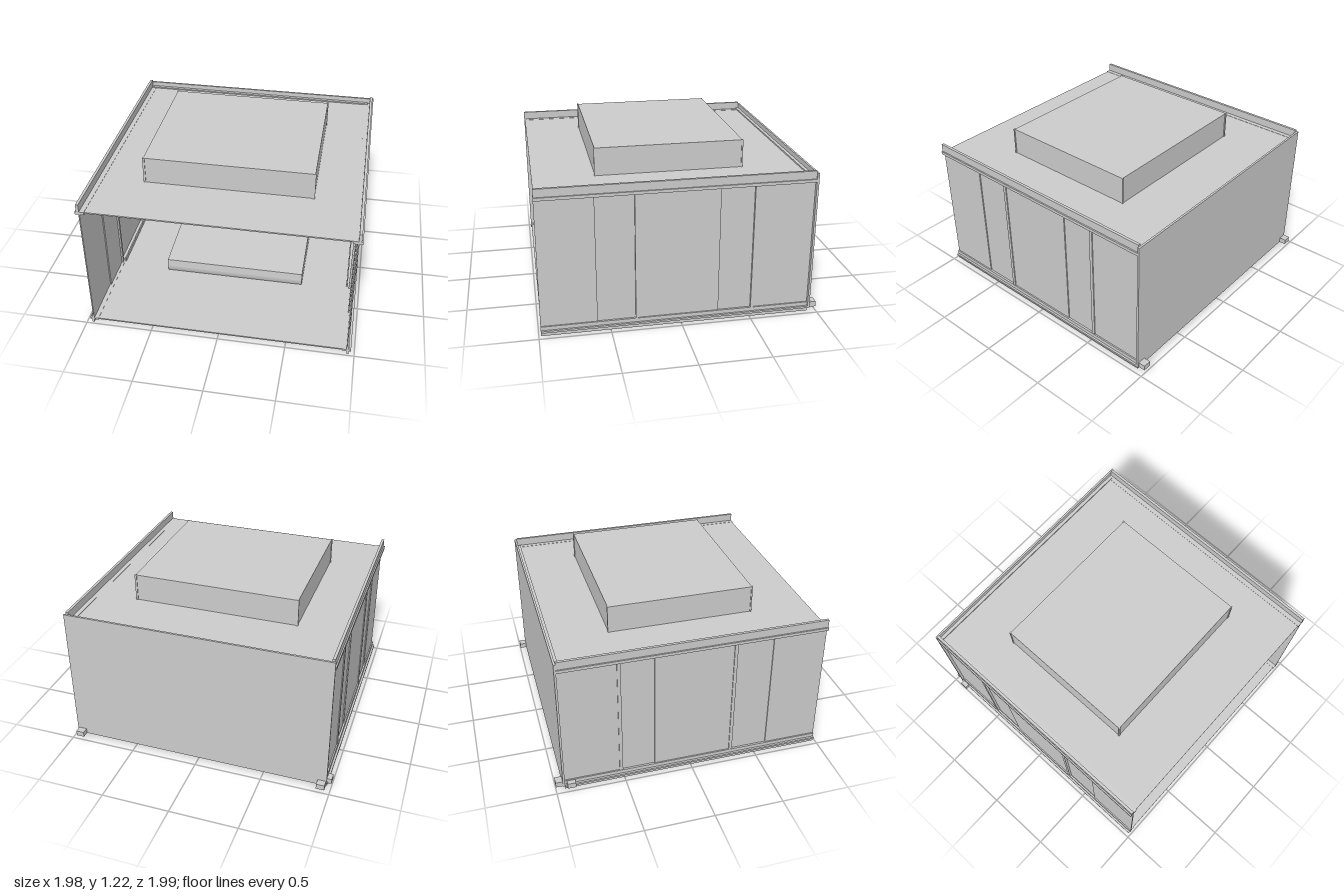
import * as THREE from 'three';

export function createModel() {
  const model = new THREE.Group();
  const mat = new THREE.MeshStandardMaterial({ color: 0xcccccc, side: THREE.DoubleSide });

  // Box given by its lower and upper limits on each axis
  const box = (name, x0, x1, y0, y1, z0, z1) => {
    const mesh = new THREE.Mesh(new THREE.BoxGeometry(x1 - x0, y1 - y0, z1 - z0), mat);
    mesh.position.set((x0 + x1) / 2, (y0 + y1) / 2, (z0 + z1) / 2);
    mesh.name = name;
    model.add(mesh);
    return mesh;
  };

  // Main shell, open at the front
  box('floor', -0.97, 0.97, 0.03, 0.04, -0.94, 0.98);
  box('roof', -0.96, 0.95, 1.01, 1.02, -0.94, 0.98);
  box('backWall', -0.97, 0.975, 0.03, 1.065, -0.95, -0.935);
  box('backRoofLedge', -0.95, 0.93, 1.02, 1.03, -0.935, -0.91);
  box('backFloorRail', -0.95, 0.93, 0.04, 0.07, -0.935, -0.91);

  // Side walls: overlapping sliding panels between an upper and a lower rail
  const splits = [0.985, 0.6, 0.31, -0.26, -0.52, -0.935];
  for (const s of [-1, 1]) {
    const side = (name, a, b, ...rest) => box(name, Math.min(s * a, s * b), Math.max(s * a, s * b), ...rest);
    for (let i = 0; i < 5; i++) {
      const x = i % 2 ? 0.94 : 0.95;
      side('sidePanel', x - 0.008, x, 0.04, 1.01, splits[i + 1] - 0.01, splits[i]);
    }
    for (const z of [0.31, -0.52]) side('panelPost', 0.92, 0.957, 0.04, 1.01, z - 0.012, z + 0.012);
    side('roofRail', 0.945, 0.965, 1.0, 1.08, -0.935, 0.985);
    side('roofRailLedge', 0.91, 0.975, 1.0, 1.022, -0.935, 0.985);
    side('floorRail', 0.945, 0.96, 0.0, 0.07, -0.935, 0.985);
    side('floorRailLedge', 0.91, 0.975, 0.028, 0.042, -0.935, 0.985);
    side('innerFloorRail', 0.9, 0.91, 0.04, 0.07, -0.935, 0.3);
    // Back panels beside the clear middle bay
    side('backPanel', 0.52, 0.93, 0.04, 1.01, -0.935, -0.925);
    // Small brackets at the rear feet
    side('rearBracket', 0.905, 0.965, 0.03, 0.07, -1.0, -0.95);
  }
  box('sideBracket', -1.0, -0.965, 0.03, 0.07, -0.92, -0.86);

  // Raised box on the roof with corner flanges
  box('roofBox', -0.605, 0.615, 1.02, 1.22, -0.505, 0.545);
  for (const x of [-0.61, 0.605])
    for (const z of [-0.51, 0.54]) box('roofBoxFlange', x, x + 0.015, 1.02, 1.222, z, z + 0.01);

  // Soft-edged pad sunk into the floor: side profile extruded across the width
  const profile = new THREE.Shape();
  profile.moveTo(-0.35, 0.15);
  profile.lineTo(0.41, 0.18);
  profile.quadraticCurveTo(0.44, 0.16, 0.43, 0.04);
  profile.quadraticCurveTo(0.4, 0.005, 0.25, 0.003);
  profile.lineTo(-0.27, 0.003);
  profile.quadraticCurveTo(-0.35, 0.01, -0.355, 0.09);
  profile.closePath();
  const padGeo = new THREE.ExtrudeGeometry(profile, { depth: 1.08, bevelEnabled: false, curveSegments: 10 });
  padGeo.rotateY(Math.PI / 2); // profile x becomes -z, depth runs along +x
  const pad = new THREE.Mesh(padGeo, mat);
  pad.position.x = -0.53;
  pad.name = 'floorPad';
  model.add(pad);

  return model;
}
